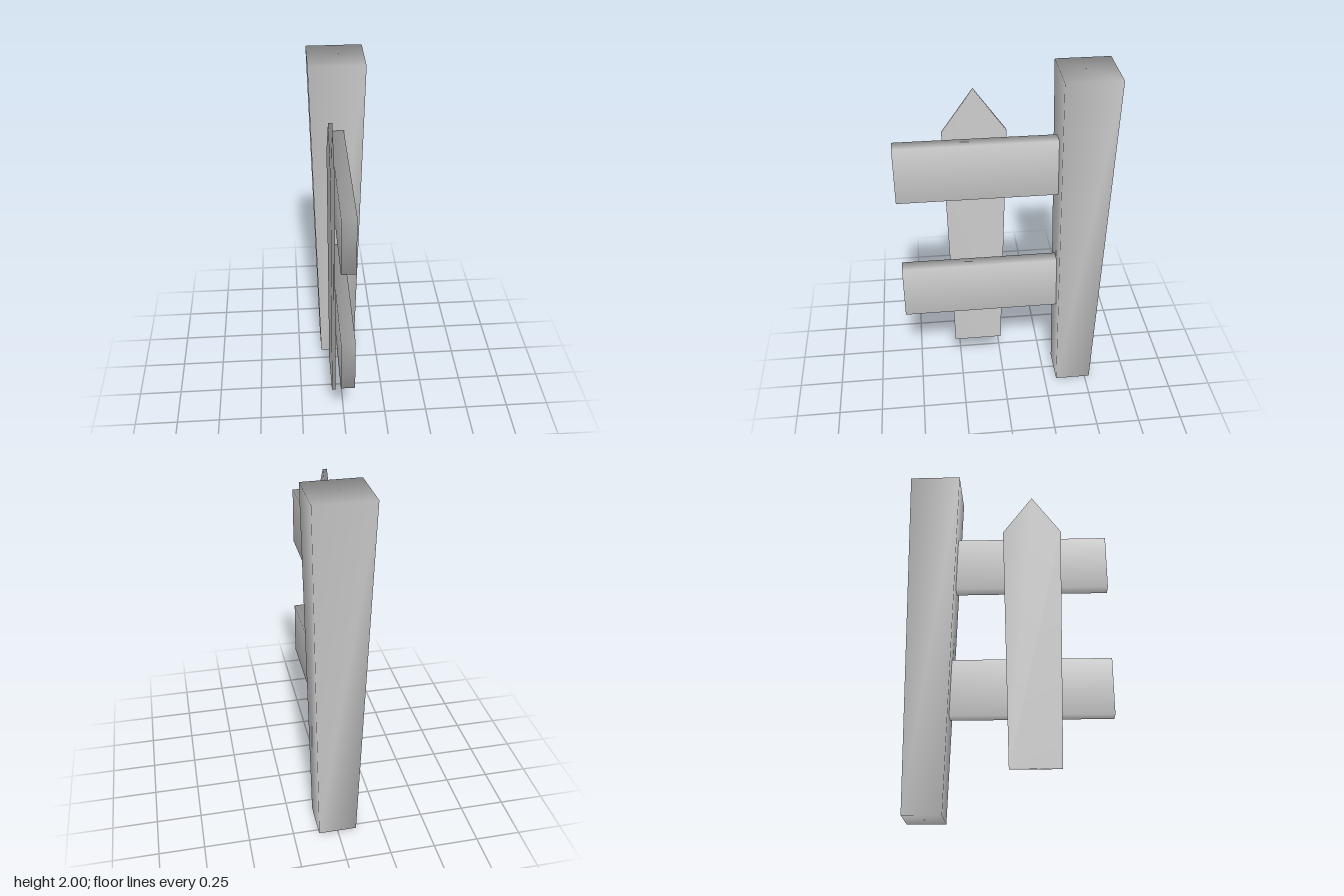
import * as THREE from 'three';
import { mergeVertices } from 'three/addons/utils/BufferGeometryUtils.js';

const material = new THREE.MeshStandardMaterial({ color: 0xcccccc });

// Weld the corners so the normals blend smoothly across the edges
function smoothMesh(name, geometry) {
  geometry.deleteAttribute('normal');
  geometry.deleteAttribute('uv');
  const welded = mergeVertices(geometry, 1e-4);
  welded.computeVertexNormals();
  const mesh = new THREE.Mesh(welded, material);
  mesh.name = name;
  return mesh;
}

export function createModel() {
  const group = new THREE.Group();
  group.name = 'fenceSection';

  // Thick post, narrowing towards the ground
  const post = new THREE.BoxGeometry(0.305, 2, 0.29);
  const p = post.attributes.position;
  for (let i = 0; i < p.count; i++) {
    if (p.getY(i) < 0) {
      p.setX(i, p.getX(i) * 0.7);
      p.setZ(i, p.getZ(i) * 0.71);
    }
  }
  post.translate(0, 1, -0.425);
  group.add(smoothMesh('post', post));

  // Two horizontal rails, let into the post
  const railBack = -0.32, railFront = 0.57;
  for (const [name, y] of [['lowerRail', 0.703], ['upperRail', 1.468]]) {
    const rail = new THREE.BoxGeometry(0.076, 0.323, railFront - railBack);
    rail.translate(-0.002, y, (railFront + railBack) / 2);
    group.add(smoothMesh(name, rail));
  }

  // Pointed picket beside the rails, outlined in z and y
  const outline = new THREE.Shape([
    [0.008, 0.243], [0.285, 0.243], [0.312, 1.66], [0.145, 1.897], [-0.025, 1.66],
  ].map(([z, y]) => new THREE.Vector2(z, y)));
  const picket = new THREE.ExtrudeGeometry(outline, { depth: 0.021, bevelEnabled: false });
  picket.rotateY(-Math.PI / 2);
  picket.translate(-0.051, 0, 0);
  group.add(smoothMesh('picket', picket));

  return group;
}
